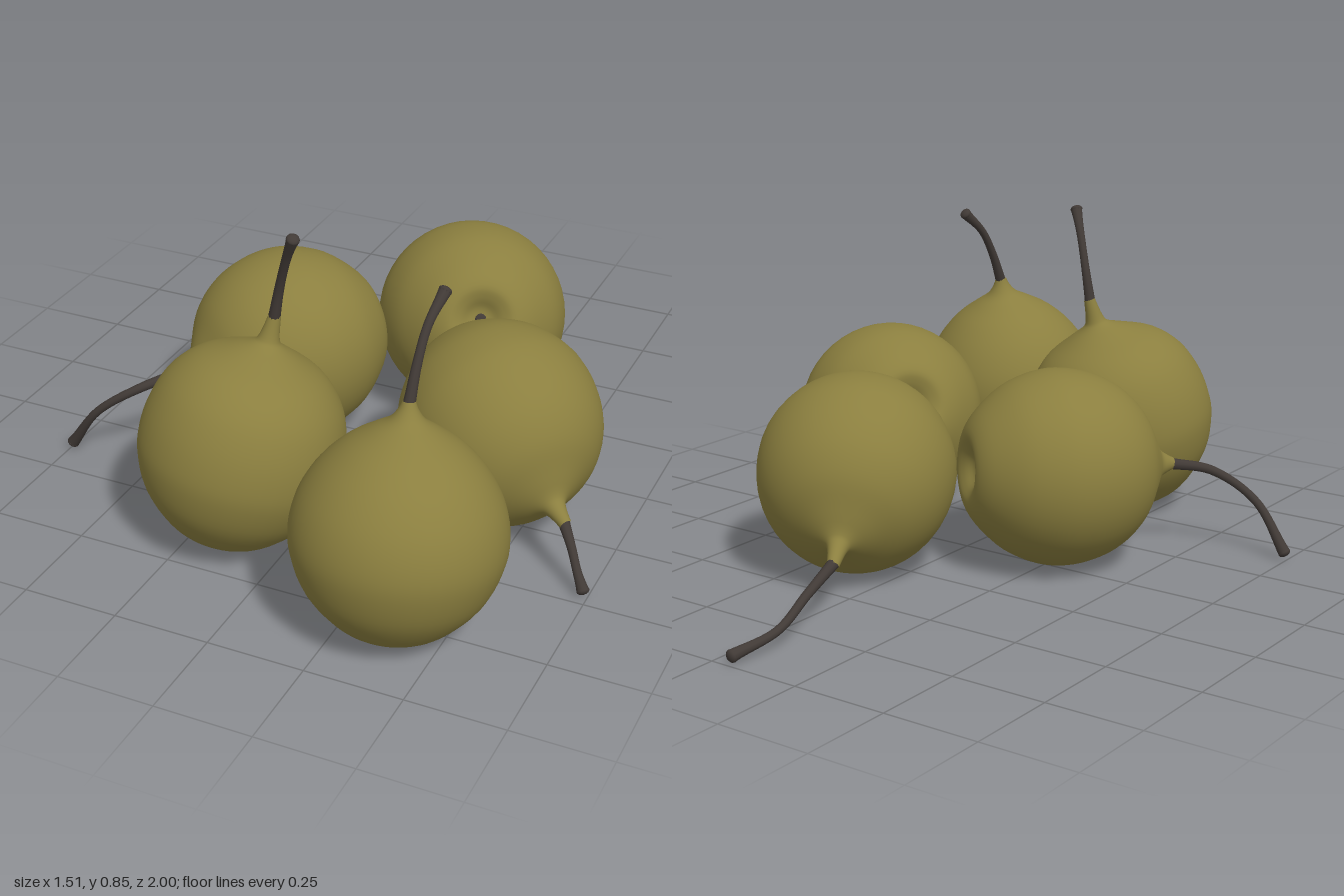
import * as THREE from 'three';

const skin = new THREE.MeshStandardMaterial({ color: 0x8b7f3f });
skin.name = 'olive skin';
const wood = new THREE.MeshStandardMaterial({ color: 0x413a36 });
wood.name = 'dark stem';

const UP = new THREE.Vector3(0, 1, 0);
const vec = (p) => new THREE.Vector3(...p);

// Each pear: body centre, direction of its neck, shoulder fullness, neck length, and stem path after the neck
const PEARS = [
  { name: 'frontLeftPear', center: [-0.13, 0.26, 0.565], axis: [0.05, 0.27, -0.06], round: 1, neck: 0.355,
    stem: [[-0.05, 0.68, 0.495], [-0.02, 0.77, 0.515], [0.012, 0.84, 0.54]] },
  { name: 'frontRightPear', center: [0.375, 0.257, 0.745], axis: [0, 0.31, -0.052], round: 0, neck: 0.325,
    stem: [[0.377, 0.65, 0.655], [0.382, 0.73, 0.605], [0.396, 0.79, 0.54]] },
  { name: 'rightPear', center: [0.41, 0.26, 0.2], axis: [0.235, -0.11, 0.185], round: 0.7, neck: 0.345,
    stem: [[0.69, 0.095, 0.425], [0.715, 0.05, 0.45], [0.738, 0.015, 0.47]] },
  { name: 'backPear', center: [0.13, 0.26, -0.305], axis: [-0.135, -0.125, -0.25], round: 0.7, neck: 0.36,
    stem: [[-0.05, 0.085, -0.72], [-0.07, 0.04, -0.85], [-0.048, 0.016, -0.985]] },
  { name: 'leftPear', center: [-0.262, 0.257, 0.04], axis: [-0.18, -0.015, 0.225], round: 0.6, neck: 0.32,
    stem: [[-0.54, 0.215, 0.365], [-0.65, 0.14, 0.405], [-0.742, 0.016, 0.4]] },
];

// Body of revolution: dimpled base, full belly, tapering neck
function bodyGeometry(round, neck) {
  const mix = (a, b) => a + (b - a) * round;
  const points = [
    [0, -0.212], [0.03, -0.218], [0.06, -0.238], [0.095, -0.246], [0.15, -0.215],
    [0.215, -0.143], [0.25, -0.06], [0.257, 0.01], [mix(0.24, 0.246), 0.085],
    [mix(0.2, 0.217), 0.155], [mix(0.145, 0.165), 0.212], [mix(0.085, 0.09), 0.252],
    [mix(0.045, 0.04), 0.277], [0.025, mix(0.302, 0.298)], [0.015, neck],
  ].map(([r, y]) => new THREE.Vector2(r, y));
  const profile = new THREE.SplineCurve(points).getPoints(56);
  profile.forEach((p) => { p.x = Math.max(p.x, 0); });
  return new THREE.LatheGeometry(profile, 48);
}

// Curved stem, thick at the neck, slim in the middle and flared at the tip
function stemGeometry(curve) {
  const rings = 28, sides = 10;
  const geo = new THREE.TubeGeometry(curve, rings, 1, sides);
  const pos = geo.attributes.position;
  const v = new THREE.Vector3();
  for (let i = 0; i <= rings; i++) {
    const t = i / rings;
    const c = curve.getPointAt(t);
    const r = 0.0105 + 0.005 * (1 - t) ** 3 + 0.006 * t ** 6;
    for (let j = 0; j <= sides; j++) {
      const k = i * (sides + 1) + j;
      v.fromBufferAttribute(pos, k).sub(c).multiplyScalar(r).add(c);
      pos.setXYZ(k, v.x, v.y, v.z);
    }
  }
  return geo;
}

function makePear({ name, center, axis, round, neck, stem }) {
  const pear = new THREE.Group();
  pear.name = name;
  const c = vec(center);
  const dir = vec(axis).normalize();
  const part = (geo, mat, label, parent) => {
    const mesh = new THREE.Mesh(geo, mat);
    mesh.name = label;
    parent.add(mesh);
    return mesh;
  };

  const fruit = new THREE.Group();
  fruit.name = 'fruit';
  fruit.position.copy(c);
  fruit.quaternion.setFromUnitVectors(UP, dir);
  part(bodyGeometry(round, neck), skin, 'body', fruit);

  // Dried blossom end inside the base dimple
  const calyx = part(new THREE.SphereGeometry(0.016, 12, 8), wood, 'calyx', fruit);
  calyx.scale.y = 0.3;
  calyx.position.y = -0.213;
  pear.add(fruit);

  const start = c.clone().addScaledVector(dir, neck - 0.012);
  const curve = new THREE.CatmullRomCurve3([start, ...stem.map(vec)]);
  part(stemGeometry(curve), wood, 'stem', pear);

  // Rounded knob closing the stem tip
  const knob = part(new THREE.SphereGeometry(0.0168, 12, 8), wood, 'stemTip', pear);
  knob.position.copy(curve.getPoint(1));
  knob.quaternion.setFromUnitVectors(UP, curve.getTangent(1));
  knob.scale.y = 0.6;
  return pear;
}

export function createModel() {
  const model = new THREE.Group();
  model.name = 'pears';
  PEARS.forEach((p) => model.add(makePear(p)));
  return model;
}
